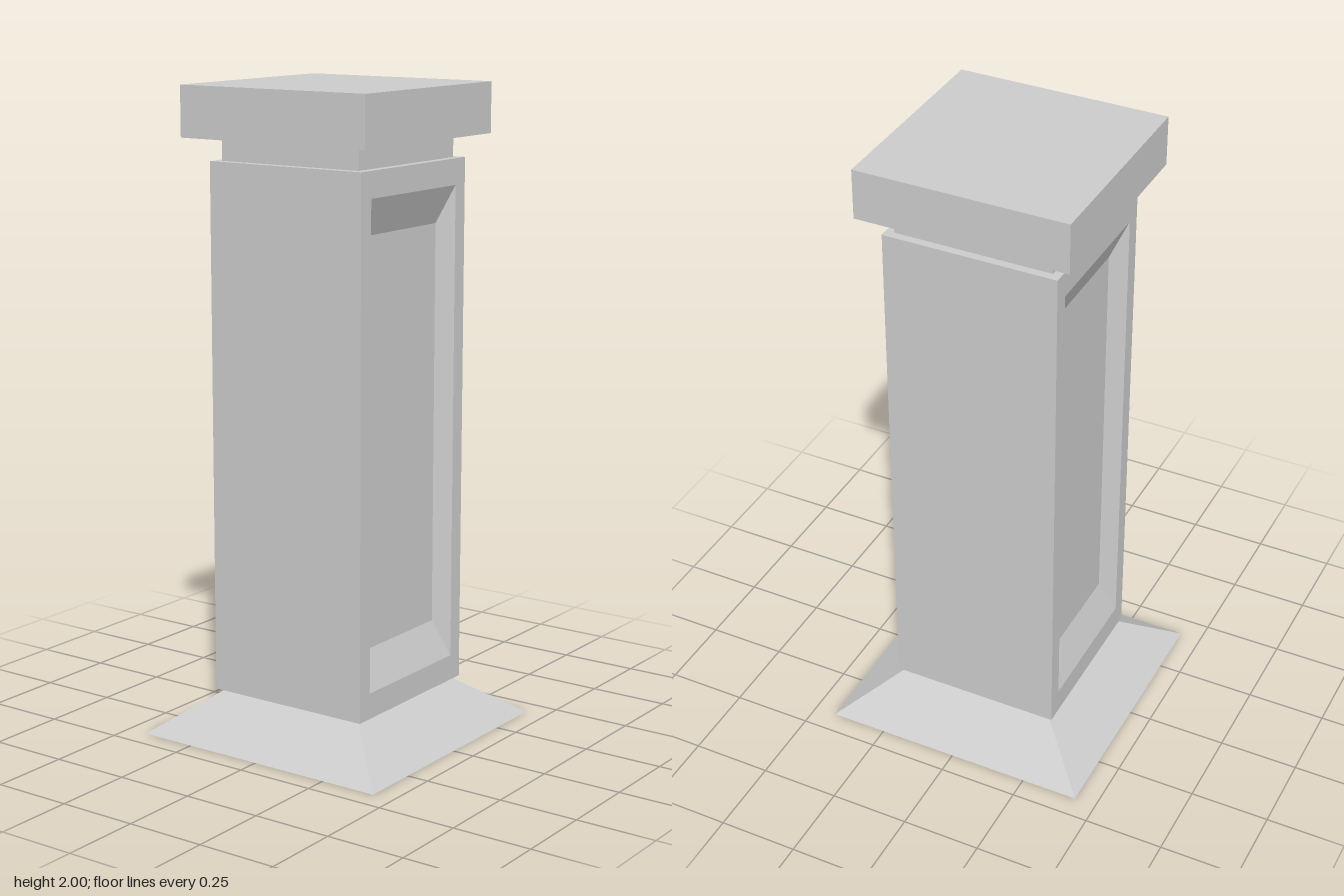
import * as THREE from 'three';

const material = new THREE.MeshStandardMaterial({ color: 0xcccccc, flatShading: true });

function addPart(group, name, geometry, x = 0, y = 0) {
  const mesh = new THREE.Mesh(geometry, material);
  mesh.name = name;
  mesh.position.set(x, y, 0);
  group.add(mesh);
}

// Joins rectangular rings [x, halfDepth, bottom, top] along x and closes both ends
function loftAlongX(rings) {
  const points = [], index = [];
  for (const [x, z, y0, y1] of rings) {
    points.push(x, y0, z, x, y0, -z, x, y1, -z, x, y1, z);
  }
  for (let r = 0; r < rings.length - 1; r++) {
    for (let i = 0; i < 4; i++) {
      const a = r * 4 + i, b = r * 4 + (i + 1) % 4;
      index.push(a, b, b + 4, a, b + 4, a + 4);
    }
  }
  const e = (rings.length - 1) * 4;
  index.push(0, 2, 1, 0, 3, 2, e, e + 1, e + 2, e, e + 2, e + 3);
  const geometry = new THREE.BufferGeometry();
  geometry.setAttribute('position', new THREE.Float32BufferAttribute(points, 3));
  geometry.setIndex(index);
  const flat = geometry.toNonIndexed();
  flat.computeVertexNormals();
  return flat;
}

export function createModel() {
  const group = new THREE.Group();
  group.name = 'pillar';

  // Flared square foot
  const foot = new THREE.CylinderGeometry(0.247 * Math.SQRT2, 0.43 * Math.SQRT2, 0.135, 4);
  foot.rotateY(Math.PI / 4);
  addPart(group, 'foot', foot, 0, 0.0675);

  // Shaft with a bevelled sunken panel on the left and right faces
  const half = [
    [0.225, 0.187, 0.33, 1.58],    // panel floor
    [0.273, 0.222, 0.215, 1.695],  // panel opening
    [0.273, 0.273, 0.135, 1.775],  // shaft edge
  ];
  const mirrored = half.map(([x, ...rest]) => [-x, ...rest]);
  addPart(group, 'shaft', loftAlongX([...mirrored, ...half.reverse()]));

  // Narrow neck and square cap
  addPart(group, 'neck', new THREE.BoxGeometry(0.494, 0.07, 0.494), 0, 1.81);
  addPart(group, 'cap', new THREE.BoxGeometry(0.662, 0.155, 0.662), -0.004, 1.9225);

  return group;
}
